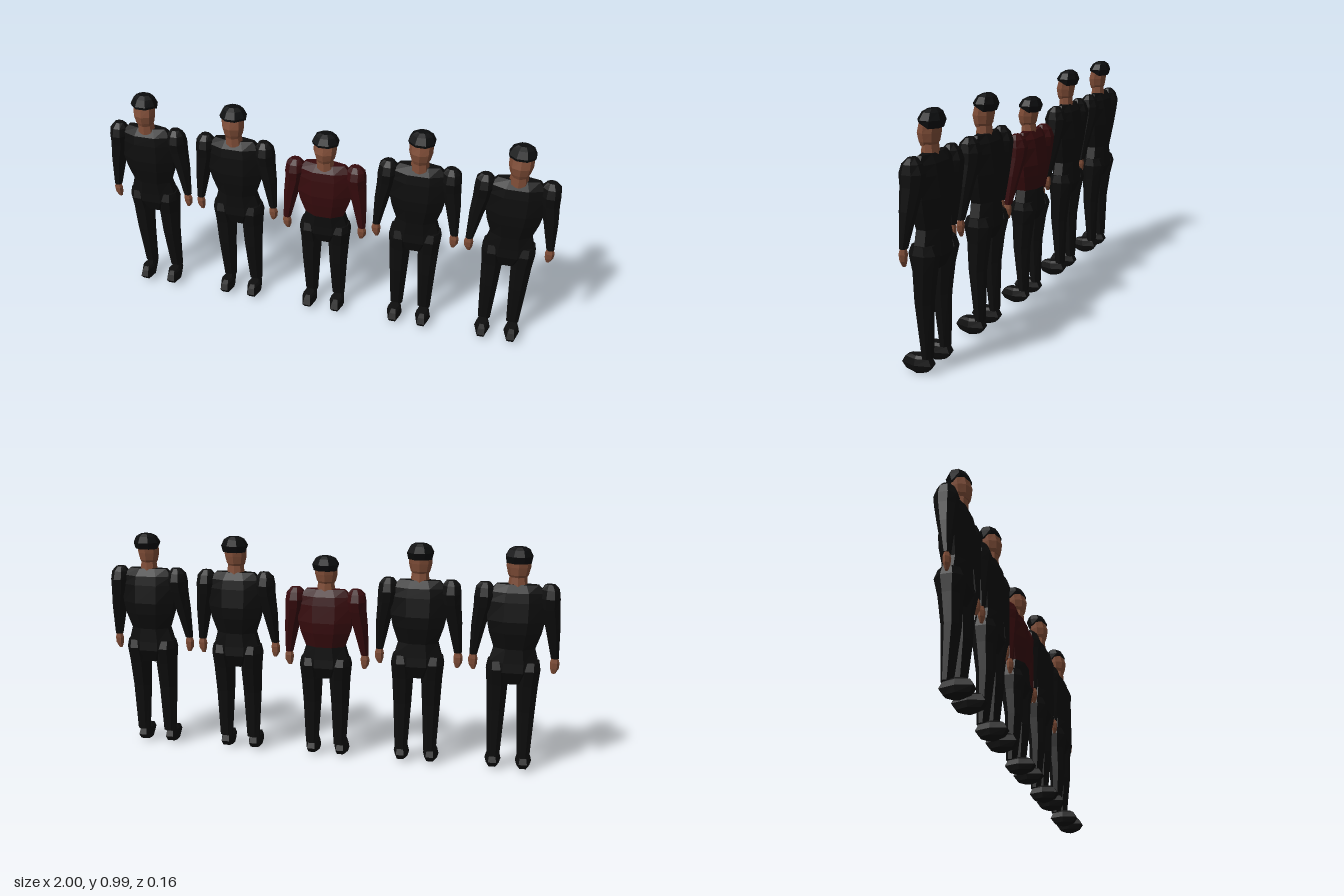
import * as THREE from 'three';

const mat = (name, color) => {
  const m = new THREE.MeshStandardMaterial({ color });
  m.name = name;
  return m;
};

// Faceted solid from horizontal rings [y, centreX, radiusX, frontZ, backZ], listed top to bottom.
// turn = 0.5 gives a flat front, turn = 0 an edge at the front.
function loft(name, material, rings, { sides = 8, turn = 0.5, tweak } = {}) {
  const pos = [];
  const grow = turn ? 1 / Math.cos(Math.PI / sides) : 1;
  const point = (r, i) => {
    const [y, cx, rx, zf, zb] = r;
    const a = ((i + turn) / sides) * Math.PI * 2;
    const v = new THREE.Vector3(
      cx + Math.sin(a) * rx * (sides === 8 ? grow : 1), y,
      (zf + zb) / 2 + Math.cos(a) * grow * (zf - zb) / 2);
    if (tweak) tweak(v, r);
    return v;
  };
  const tri = (...vs) => vs.forEach(v => pos.push(v.x, v.y, v.z));
  const last = rings.length - 1;
  const mid = r => new THREE.Vector3(r[1], r[0], (r[3] + r[4]) / 2);
  for (let i = 0; i < sides; i++) {
    for (let k = 0; k < last; k++) {
      const a = point(rings[k], i), b = point(rings[k], i + 1);
      const c = point(rings[k + 1], i), d = point(rings[k + 1], i + 1);
      tri(a, c, b);
      tri(b, c, d);
    }
    tri(mid(rings[0]), point(rings[0], i), point(rings[0], i + 1));
    tri(mid(rings[last]), point(rings[last], i + 1), point(rings[last], i));
  }
  const g = new THREE.BufferGeometry();
  g.setAttribute('position', new THREE.Float32BufferAttribute(pos, 3));
  g.computeVertexNormals(); // unshared corners keep every facet flat
  const mesh = new THREE.Mesh(g, material);
  mesh.name = name;
  return mesh;
}

function figure(name, top, trousers, skin, hair, shoe) {
  const f = new THREE.Group();
  f.name = name;

  // Jacket body and pelvis
  f.add(loft('torso', top, [
    [0.832, 0, 0.085, -0.005, -0.045],
    [0.80, 0, 0.112, 0.02, -0.066],
    [0.76, 0, 0.12, 0.028, -0.074],
    [0.68, 0, 0.118, 0.038, -0.084],
    [0.63, 0, 0.108, 0.036, -0.082],
    [0.56, 0, 0.085, 0.028, -0.07],
  ]));
  f.add(loft('pelvis', trousers, [
    [0.562, 0, 0.085, 0.028, -0.07],
    [0.50, 0, 0.102, 0.03, -0.074],
    [0.46, 0, 0.10, 0.034, -0.078],
    [0.405, 0, 0.05, 0.015, -0.055],
  ]));

  // Neck, head and cropped hair
  f.add(loft('neck', skin, [
    [0.87, 0, 0.035, 0.012, -0.045],
    [0.81, 0, 0.042, 0.016, -0.052],
  ], { turn: 0 }));
  f.add(loft('head', skin, [
    [0.965, 0, 0.042, 0.008, -0.055],
    [0.94, 0, 0.05, 0.018, -0.06],
    [0.903, 0, 0.05, 0.029, -0.058],
    [0.87, 0, 0.042, 0.024, -0.052],
    [0.853, 0, 0.032, 0.018, -0.042],
  ], { turn: 0 }));
  f.add(loft('hair', hair, [
    [0.988, 0, 0.024, -0.015, -0.05],
    [0.977, 0, 0.042, 0.004, -0.064],
    [0.95, 0, 0.055, 0.02, -0.073],
    [0.921, 0, 0.05, 0.019, -0.063],
  ], { tweak: (v, r) => { if (r[0] < 0.93 && v.z > -0.02) v.y += 0.018; } }));

  // Mirrored limbs
  for (const s of [1, -1]) {
    const side = s > 0 ? 'left' : 'right';
    const limb = (part, m, rings, opt) =>
      f.add(loft(side + part, m, rings.map(([y, x, ...r]) => [y, s * x, ...r]), opt));
    limb('Sleeve', top, [
      [0.836, 0.132, 0.02, -0.01, -0.04],
      [0.815, 0.134, 0.036, 0.01, -0.058],
      [0.78, 0.134, 0.041, 0.022, -0.07],
      [0.735, 0.137, 0.039, 0.018, -0.064],
      [0.65, 0.153, 0.03, 0.016, -0.046],
      [0.515, 0.17, 0.016, 0.013, -0.016],
    ]);
    limb('Hand', skin, [
      [0.52, 0.17, 0.013, 0.008, -0.009],
      [0.495, 0.171, 0.02, 0.013, -0.013],
      [0.47, 0.171, 0.018, 0.011, -0.011],
      [0.448, 0.168, 0.008, 0.004, -0.006],
    ], { sides: 6 });
    limb('Leg', trousers, [
      [0.505, 0.072, 0.035, 0.02, -0.065],
      [0.47, 0.068, 0.045, 0.034, -0.079],
      [0.40, 0.063, 0.044, 0.023, -0.064],
      [0.28, 0.063, 0.038, 0.02, -0.048],
      [0.065, 0.064, 0.027, -0.002, -0.042],
    ]);
    limb('Shoe', shoe, [
      [0.072, 0.066, 0.02, 0.045, -0.012],
      [0.062, 0.066, 0.029, 0.066, -0.034],
      [0.037, 0.066, 0.035, 0.08, -0.046],
      [0.013, 0.066, 0.028, 0.064, -0.03],
      [0, 0.066, 0.016, 0.035, 0],
    ], { sides: 6 });
  }
  return f;
}

export function createModel() {
  const model = new THREE.Group();
  model.name = 'lineOfFigures';
  const suit = mat('black suit', 0x0d0d0d);
  const red = mat('dark red jacket', 0x360b0d);
  const skin = mat('brown skin', 0x7f4d37);
  const hair = mat('black hair', 0x0b0c0d);
  const shoe = mat('black shoe', 0x0e0e0e);

  // Five in a row, the middle one shorter and in red
  for (let i = -2; i <= 2; i++) {
    const f = figure('figure' + (i + 3), i ? suit : red, suit, skin, hair, shoe);
    f.position.x = i * 0.405;
    if (i === 0) f.scale.y = 0.93;
    model.add(f);
  }
  return model;
}
